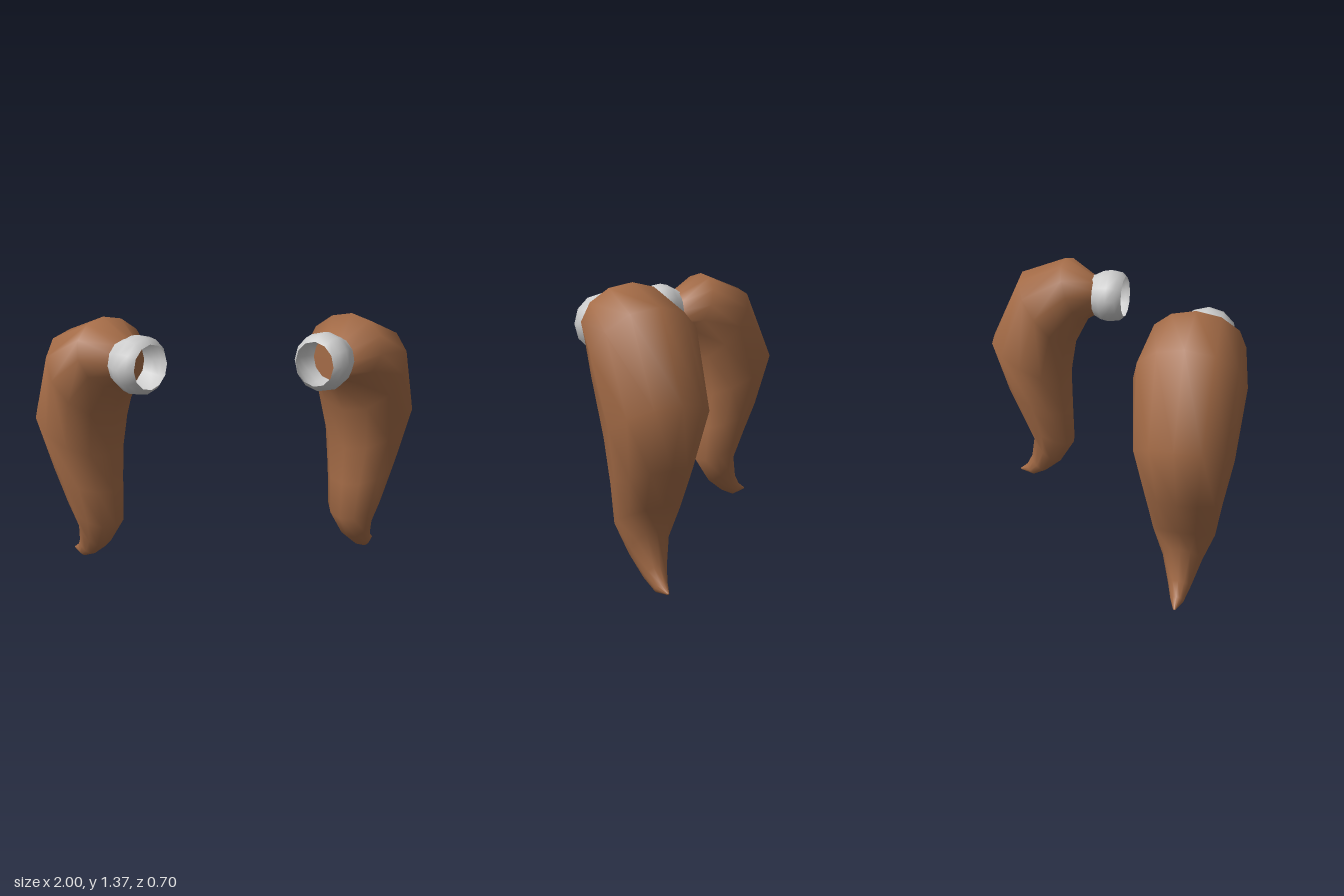
import * as THREE from 'three';

const SIDES = 12;

// Cross-sections of the hair in its own plane: outer edge (u, y), inner edge (u, y), half width
const SECTIONS = [
  [0.245, 1.265, 0.245, 1.055, 0.112],
  [0.42, 1.365, 0.295, 1.025, 0.222],
  [0.68, 1.272, 0.38, 0.865, 0.255],
  [0.872, 0.885, 0.405, 0.65, 0.228],
  [0.78, 0.59, 0.40, 0.45, 0.18],
  [0.70, 0.41, 0.395, 0.25, 0.148],
  [0.64, 0.285, 0.485, 0.11, 0.095],
  [0.665, 0.13, 0.58, 0.035, 0.055],
  [0.70, 0.065, 0.655, 0, 0.032],
  [0.745, 0.028, 0.74, 0.018, 0.006],
];

// Skin of elliptical cross-sections, sharing vertices for smooth shading
function hairGeometry() {
  const positions = [], index = [];
  SECTIONS.forEach(([ou, oy, iu, iy, half], row) => {
    for (let j = 0; j < SIDES; j++) {
      const t = (j / SIDES) * Math.PI * 2, c = Math.cos(t) / 2;
      positions.push((ou + iu) / 2 + (ou - iu) * c, (oy + iy) / 2 + (oy - iy) * c, half * Math.sin(t));
      if (row === SECTIONS.length - 1) continue;
      const a = row * SIDES + j, b = row * SIDES + ((j + 1) % SIDES);
      index.push(a, b, a + SIDES, b, b + SIDES, a + SIDES);
    }
  });
  // close the tip
  const last = (SECTIONS.length - 1) * SIDES;
  for (let j = 1; j < SIDES - 1; j++) index.push(last, last + j, last + j + 1);
  const geometry = new THREE.BufferGeometry();
  geometry.setAttribute('position', new THREE.Float32BufferAttribute(positions, 3));
  geometry.setIndex(index);
  geometry.computeVertexNormals();
  return geometry;
}

export function createModel() {
  const model = new THREE.Group();
  const hairMaterial = new THREE.MeshStandardMaterial({ color: 0xa56c47 });
  const tieMaterial = new THREE.MeshStandardMaterial({ color: 0xcccccc, side: THREE.DoubleSide });

  const hair = hairGeometry();
  const root = new THREE.CircleGeometry(0.11, SIDES);
  // rounded open band, radius and distance along its axis
  const band = new THREE.LatheGeometry(
    [[0.11, 0.082], [0.138, 0.112], [0.146, 0.16], [0.138, 0.205], [0.116, 0.25], [0.108, 0.275]]
      .map(([r, u]) => new THREE.Vector2(r, u)), SIDES);

  for (const side of [1, -1]) {
    const pigtail = new THREE.Group();
    pigtail.name = side > 0 ? 'leftPigtail' : 'rightPigtail';

    const tail = new THREE.Mesh(hair, hairMaterial);
    tail.name = 'hairTail';

    // end of the hair seen through the band
    const cap = new THREE.Mesh(root, hairMaterial);
    cap.name = 'hairRoot';
    cap.position.set(0.245, 1.16, side * 0.008);
    cap.rotation.y = -Math.PI / 2;

    const tie = new THREE.Mesh(band, tieMaterial);
    tie.name = 'hairTie';
    tie.position.set(0, 1.163, side * 0.014);
    tie.rotation.z = -Math.PI / 2;

    pigtail.add(tail, cap, tie);
    // each pigtail sweeps outward and back; its hair is symmetric about its own plane
    pigtail.rotation.y = side > 0 ? Math.PI / 4 : (3 * Math.PI) / 4;
    pigtail.position.set(side * 0.323, 0, 0.323);
    model.add(pigtail);
  }
  return model;
}
